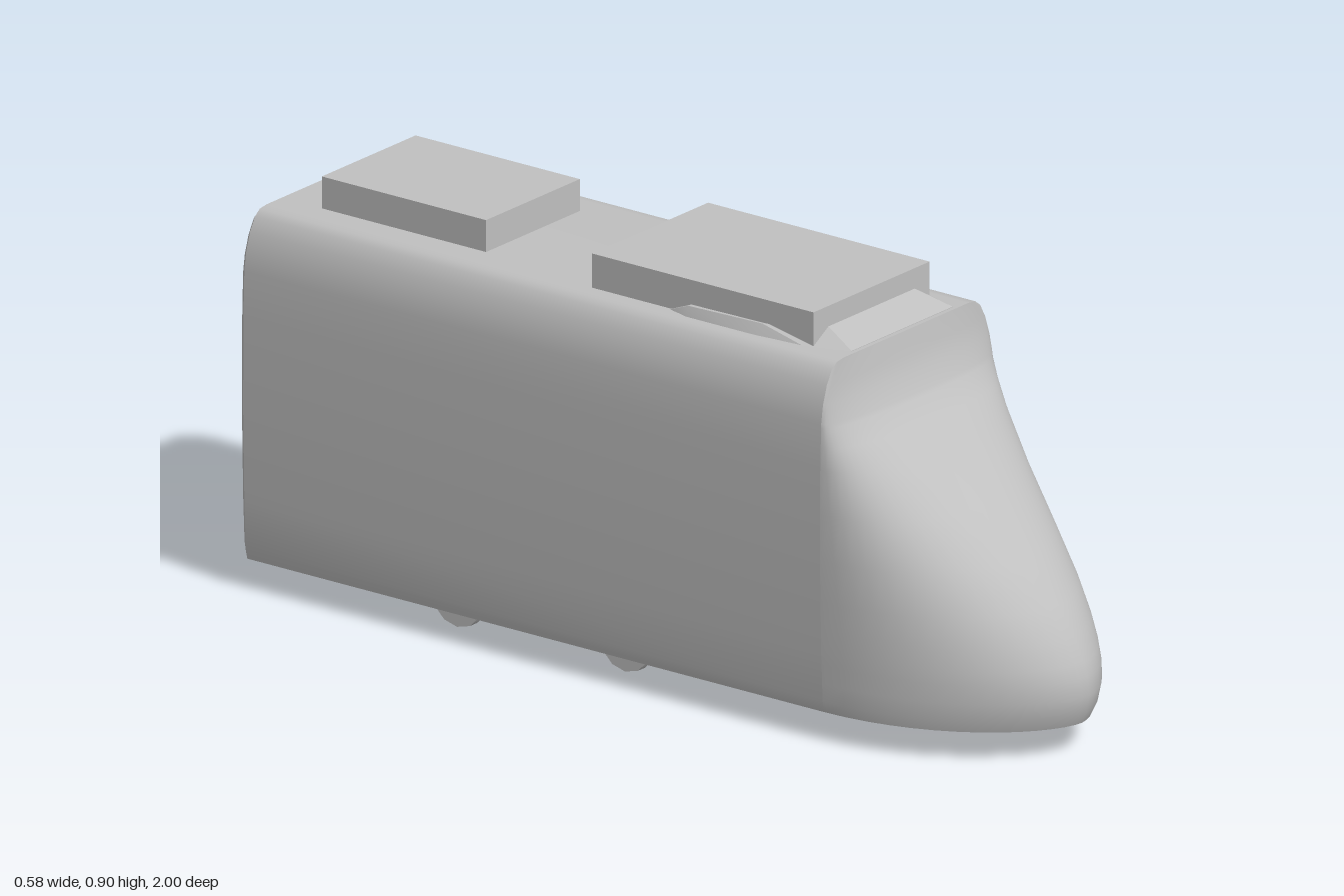
import * as THREE from 'three';
import { toCreasedNormals } from 'three/addons/utils/BufferGeometryUtils.js';

// Piecewise linear lookup in [[key, value], ...]
function lookup(table, k) {
  for (let i = 1; i < table.length; i++) {
    const [k0, v0] = table[i - 1], [k1, v1] = table[i];
    if (k <= k1) return v0 + (v1 - v0) * (k - k0) / (k1 - k0);
  }
  return table[table.length - 1][1];
}

// Skin closed rings of [x, y, z], counter-clockwise about the loft direction, capped at both ends
function loft(rings, crease = 0.6) {
  const n = rings[0].length, pos = rings.flat(2), index = [];
  for (let i = 0; i < rings.length - 1; i++) {
    for (let j = 0; j < n; j++) {
      const k = (j + 1) % n, a = i * n, b = a + n;
      index.push(a + j, a + k, b + k, a + j, b + k, b + j);
    }
  }
  [[0, true], [rings.length - 1, false]].forEach(([r, flip]) => {
    const c = pos.length / 3;
    for (let d = 0; d < 3; d++) pos.push(rings[r].reduce((s, p) => s + p[d], 0) / n);
    for (let j = 0; j < n; j++) {
      const a = r * n + j, b = r * n + (j + 1) % n;
      index.push(c, flip ? b : a, flip ? a : b);
    }
  });
  const g = new THREE.BufferGeometry();
  g.setAttribute('position', new THREE.Float32BufferAttribute(pos, 3));
  g.setIndex(index);
  return toCreasedNormals(g, crease);
}

// Half width of the body by height
const sideProfile = [
  [0.065, 0.275], [0.09, 0.28], [0.2, 0.285], [0.4, 0.289], [0.6, 0.288], [0.7, 0.285],
  [0.74, 0.279], [0.78, 0.266], [0.81, 0.249], [0.822, 0.233], [0.825, 0.21],
];
// Foremost z of the nose by height
const noseProfile = [
  [0.065, 0.98], [0.09, 0.992], [0.13, 1], [0.17, 0.995], [0.2, 0.985], [0.25, 0.96], [0.31, 0.92],
  [0.4, 0.842], [0.5, 0.745], [0.6, 0.648], [0.65, 0.6], [0.69, 0.562], [0.74, 0.538], [0.78, 0.529], [0.825, 0.52],
];
const NOSE_Z = 0.52;

export function createModel() {
  const group = new THREE.Group();
  const grey = new THREE.MeshStandardMaterial({ color: 0xc0c0c0 });
  grey.name = 'plain grey';
  const add = (name, geometry, x = 0, y = 0, z = 0) => {
    const mesh = new THREE.Mesh(geometry, grey);
    mesh.name = name;
    mesh.position.set(x, y, z);
    group.add(mesh);
    return mesh;
  };

  // Long body with a small bevel at the back
  const outline = [
    ...sideProfile.map(([y, w]) => [w, y]),
    ...sideProfile.map(([y, w]) => [-w, y]).reverse(),
  ];
  const section = (z, s) => outline.map(([x, y]) => [x * s, 0.445 + (y - 0.445) * s, z]);
  add('body', loft([section(-1, 0.97), section(-0.99, 1), section(NOSE_Z, 1)]));

  // Sloping nose: horizontal slices, rounder at the bottom and squarer at the top
  const heights = [...new Set([...sideProfile, ...noseProfile].map((p) => p[0]))].sort((a, b) => a - b);
  const COLS = 28;
  const slices = heights.map((y) => {
    const w = lookup(sideProfile, y), depth = lookup(noseProfile, y) - NOSE_Z;
    const power = 1.25 - 0.5 * Math.min(1, (y - 0.065) / 0.6);
    const ring = [];
    for (let j = 0; j <= COLS; j++) {
      const a = Math.PI * (j / COLS - 0.5), s = Math.sin(a);
      ring.push([w * Math.sign(s) * Math.abs(s) ** power, y, NOSE_Z + depth * Math.max(0, Math.cos(a))]);
    }
    return ring;
  });
  add('nose', loft(slices, 0.9));

  // Low fairing under the front roof unit: [z, base half width, top half width, top height]
  const fairing = [
    [0.06, 0.205, 0.2, 0.826], [0.11, 0.215, 0.205, 0.846], [0.3, 0.215, 0.2, 0.848],
    [0.43, 0.205, 0.145, 0.855], [0.51, 0.18, 0.17, 0.826],
  ].map(([z, b, t, y]) => [[b, 0.82, z], [t, y, z], [-t, y, z], [-b, 0.82, z]]);
  add('roofFairing', loft(fairing, 0.3));

  // Box units on the roof
  add('frontRoofUnit', new THREE.BoxGeometry(0.39, 0.08, 0.58), 0, 0.86, 0.14);
  add('rearRoofUnit', new THREE.BoxGeometry(0.315, 0.075, 0.43), -0.002, 0.8575, -0.67);

  // Wheels, half sunk in the floor
  for (const z of [-0.065, -0.505]) {
    for (const side of [-1, 1]) {
      const wheel = new THREE.CylinderGeometry(0.067, 0.067, 0.024, 12).rotateZ(Math.PI / 2);
      add(side > 0 ? 'leftWheel' : 'rightWheel', wheel, side * 0.181, 0.067, z);
    }
  }
  return group;
}
